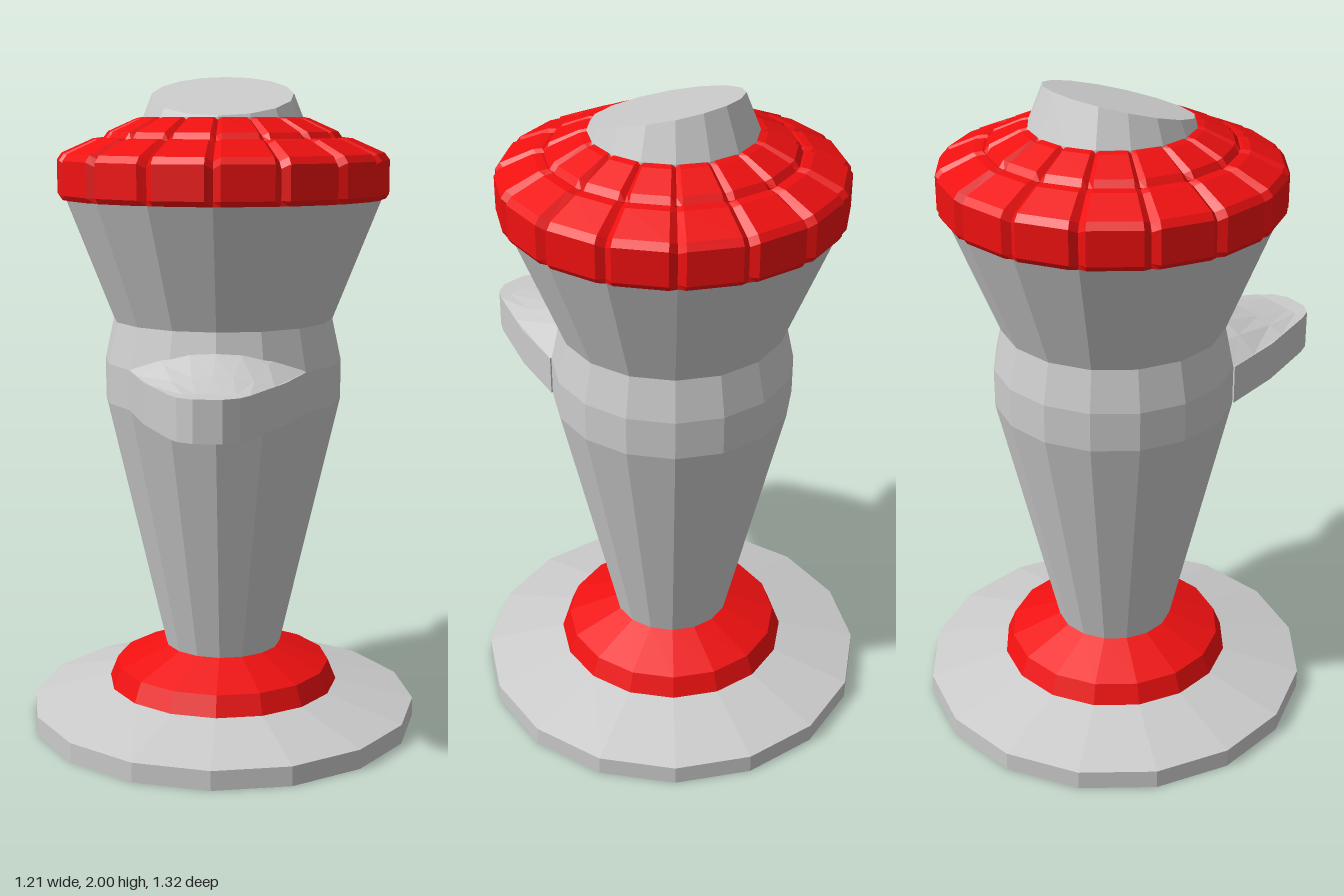
import * as THREE from 'three';

const SIDES = 16;
const AXIS_Z = -0.06;

const grey = new THREE.MeshStandardMaterial({ color: 0xcccccc, flatShading: true });
const greyThin = new THREE.MeshStandardMaterial({ color: 0xcccccc, flatShading: true, side: THREE.DoubleSide });
const red = new THREE.MeshStandardMaterial({ color: 0xf01010, flatShading: true });

const lathe = (profile, sides = SIDES) =>
  new THREE.LatheGeometry(profile.map(([r, y]) => new THREE.Vector2(r, y)), sides);

// Ring of blocks: three stations per block, the first one sunk to form a groove
function blockRing(profile) {
  const geometry = lathe(profile, SIDES * 3);
  const pos = geometry.attributes.position;
  const n = profile.length;
  const step = (Math.PI * 2) / SIDES;
  const gap = 0.045;
  for (let i = 0; i <= SIDES * 3; i++) {
    const kind = i % 3;
    const angle = Math.floor(i / 3) * step + [0, gap, step - gap][kind];
    for (let j = 0; j < n; j++) {
      const [r, y, sink = 0] = profile[j];
      const radius = kind === 0 ? r - sink : r;
      const height = kind === 0 && j > 2 ? y - sink * 0.8 : y;
      pos.setXYZ(i * n + j, radius * Math.sin(angle), height, radius * Math.cos(angle));
    }
  }
  return geometry;
}

// Tapered knob whose top is cut by a plane sloping down to the front
function slantedKnob() {
  const geometry = lathe([[0, 1.8], [0.24, 1.8], [0.24, 1.88], [0.19, 2], [0, 1.94]]);
  const pos = geometry.attributes.position;
  const cut = (z) => 1.949 - 0.27 * z;
  for (let i = 0; i <= SIDES; i++) {
    const a = (i / SIDES) * Math.PI * 2;
    let r = 0.2;
    for (let k = 0; k < 10; k++) r = 0.24 - (cut(r * Math.cos(a)) - 1.88) * 0.4;
    pos.setXYZ(i * 5 + 3, r * Math.sin(a), cut(r * Math.cos(a)), r * Math.cos(a));
    pos.setY(i * 5 + 4, cut(0));
  }
  return geometry;
}

// Flat tongue with a rounded tip
function spoutSlab() {
  const half = [[0.258, 0.2], [0.2, 0.39], [0.11, 0.59], [0.085, 0.63], [0.04, 0.655]];
  const outline = [...half, ...half.map(([x, z]) => [-x, z]).reverse()];
  const shape = new THREE.Shape(outline.map(([x, z]) => new THREE.Vector2(x, -z)));
  return new THREE.ExtrudeGeometry(shape, { depth: 0.12, bevelEnabled: false })
    .rotateX(-Math.PI / 2).translate(0, 1.03, 0);
}

// Arched ramp from the body down to the tongue: sections of z, half width, rise
function spoutRamp() {
  const sections = [[0.2, 0.258, 0.075], [0.3, 0.225, 0.063], [0.45, 0.173, 0.025], [0.59, 0.11, 0.001]];
  const across = 6;
  const points = [];
  const index = [];
  sections.forEach(([z, w, rise], i) => {
    for (let j = 0; j <= across; j++) {
      const u = (j / across) * 2 - 1;
      points.push(w * u, 1.151 + rise * (1 - u * u), z);
      if (i && j) {
        const d = i * (across + 1) + j;
        const b = d - across - 1;
        index.push(b - 1, d - 1, d, b - 1, d, b);
      }
    }
  });
  const geometry = new THREE.BufferGeometry();
  geometry.setAttribute('position', new THREE.Float32BufferAttribute(points, 3));
  geometry.setIndex(index);
  geometry.computeVertexNormals();
  return geometry;
}

export function createModel() {
  const model = new THREE.Group();
  const add = (name, geometry, material, z = AXIS_Z) => {
    const mesh = new THREE.Mesh(geometry, material);
    mesh.name = name;
    mesh.position.z = z;
    model.add(mesh);
  };

  // Foot and collar
  add('base', lathe([[0, 0], [0.605, 0], [0.605, 0.06], [0.36, 0.12], [0, 0.12]]), grey);
  add('collar', lathe([[0, 0.12], [0.36, 0.12], [0.335, 0.182], [0.18, 0.245], [0, 0.245]]), red);

  // Tapered stem, belt and flared cup
  add('body', lathe([[0, 0.24], [0.18, 0.24], [0.362, 1.03], [0.362, 1.15], [0.335, 1.275],
    [0.48, 1.64], [0, 1.64]]), grey);

  // Tongue at the front
  add('spout', spoutSlab(), grey, 0);
  add('spoutRamp', spoutRamp(), greyThin, 0);

  // Two tiers of blocks; third value is groove depth
  add('lowerBlocks', blockRing([[0.4, 1.64], [0.49, 1.64, 0.008], [0.5, 1.655, 0.016], [0.5, 1.755, 0.016],
    [0.485, 1.775, 0.016], [0.39, 1.817, 0.012], [0.365, 1.82, 0.01], [0.3, 1.8]]), red);
  add('upperBlocks', blockRing([[0.3, 1.79], [0.362, 1.8, 0.01], [0.362, 1.815, 0.01], [0.345, 1.838, 0.012],
    [0.26, 1.876, 0.01], [0.24, 1.88, 0.006], [0.2, 1.87]]), red);

  // Knob on top
  add('knob', slantedKnob(), grey);
  return model;
}
